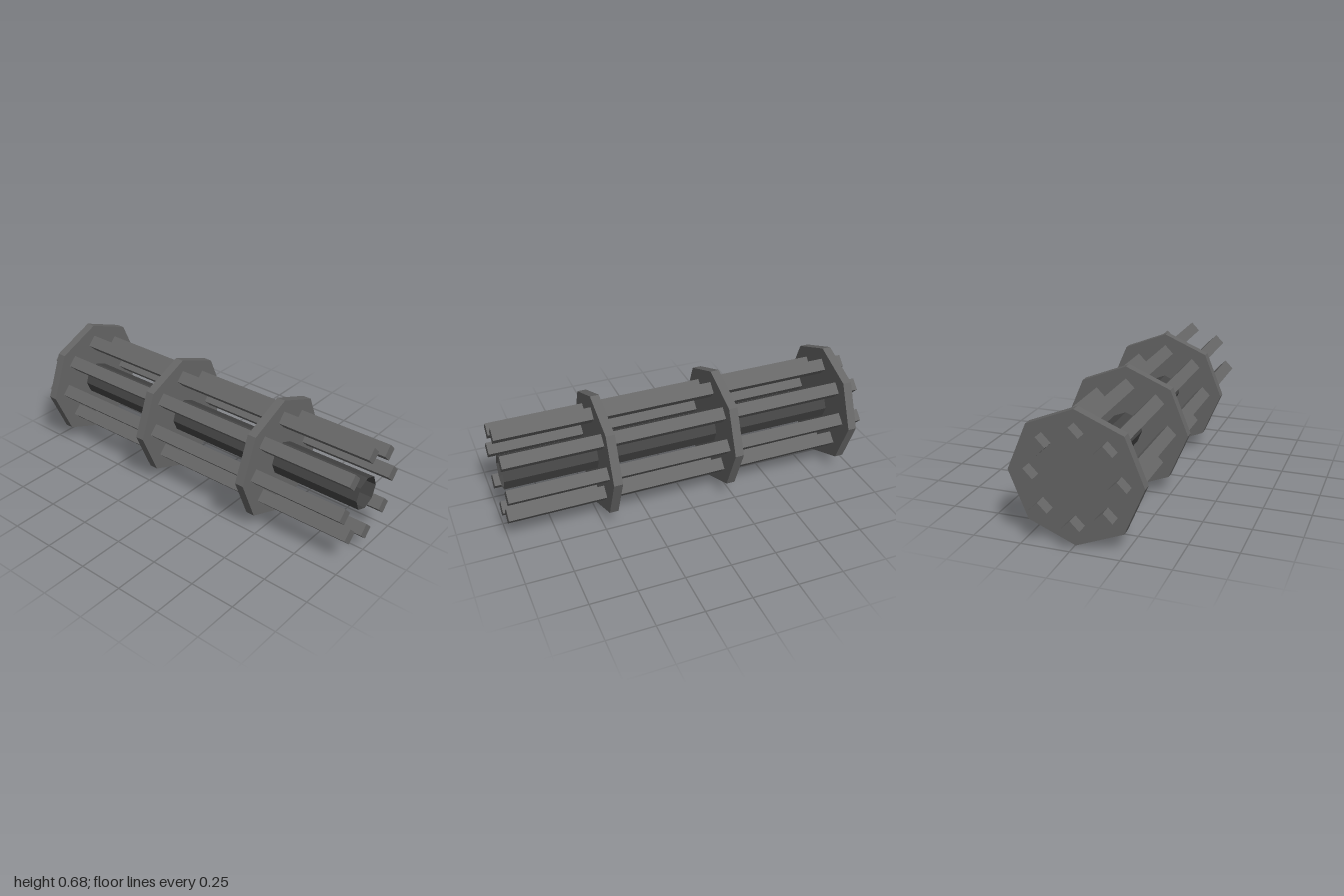
import * as THREE from 'three';

export function createModel() {
  const model = new THREE.Group();
  model.name = 'rotaryBarrelCluster';

  const steel = new THREE.MeshStandardMaterial({ color: 0x666666, flatShading: true });
  const darkSteel = new THREE.MeshStandardMaterial({
    color: 0x444444, flatShading: true, side: THREE.DoubleSide,
  });

  // Cluster axis along z, with a very slight yaw and roll
  const cluster = new THREE.Group();
  cluster.name = 'cluster';
  cluster.position.y = 0.34;
  cluster.rotation.set(0, 0.008, 0.009);
  model.add(cluster);

  // Prism along z with its corners on the x and y axes
  function prism(name, radius, sides, z0, z1, material, open = false) {
    const geometry = new THREE.CylinderGeometry(radius, radius, z1 - z0, sides, 1, open);
    geometry.rotateX(Math.PI / 2);
    const mesh = new THREE.Mesh(geometry, material);
    mesh.name = name;
    mesh.position.z = (z0 + z1) / 2;
    cluster.add(mesh);
    return mesh;
  }

  // Octagonal clamp plates
  [0.453, -0.223, -0.909].forEach((z, i) => {
    prism(`clampPlate${i + 1}`, 0.34, 8, z - 0.024, z + 0.024, steel);
  });

  // Ring of square barrels, all turned the same way
  for (let i = 0; i < 8; i++) {
    const a = (i * Math.PI) / 4;
    const barrel = prism(`barrel${i + 1}`, 0.047, 4, -1, 1, steel);
    barrel.position.x = 0.229 * Math.cos(a);
    barrel.position.y = 0.229 * Math.sin(a);
  }

  // Open central tube, ending inside the rear plate
  prism('centralTube', 0.091, 8, -0.9, 0.98, darkSteel, true);

  return model;
}
